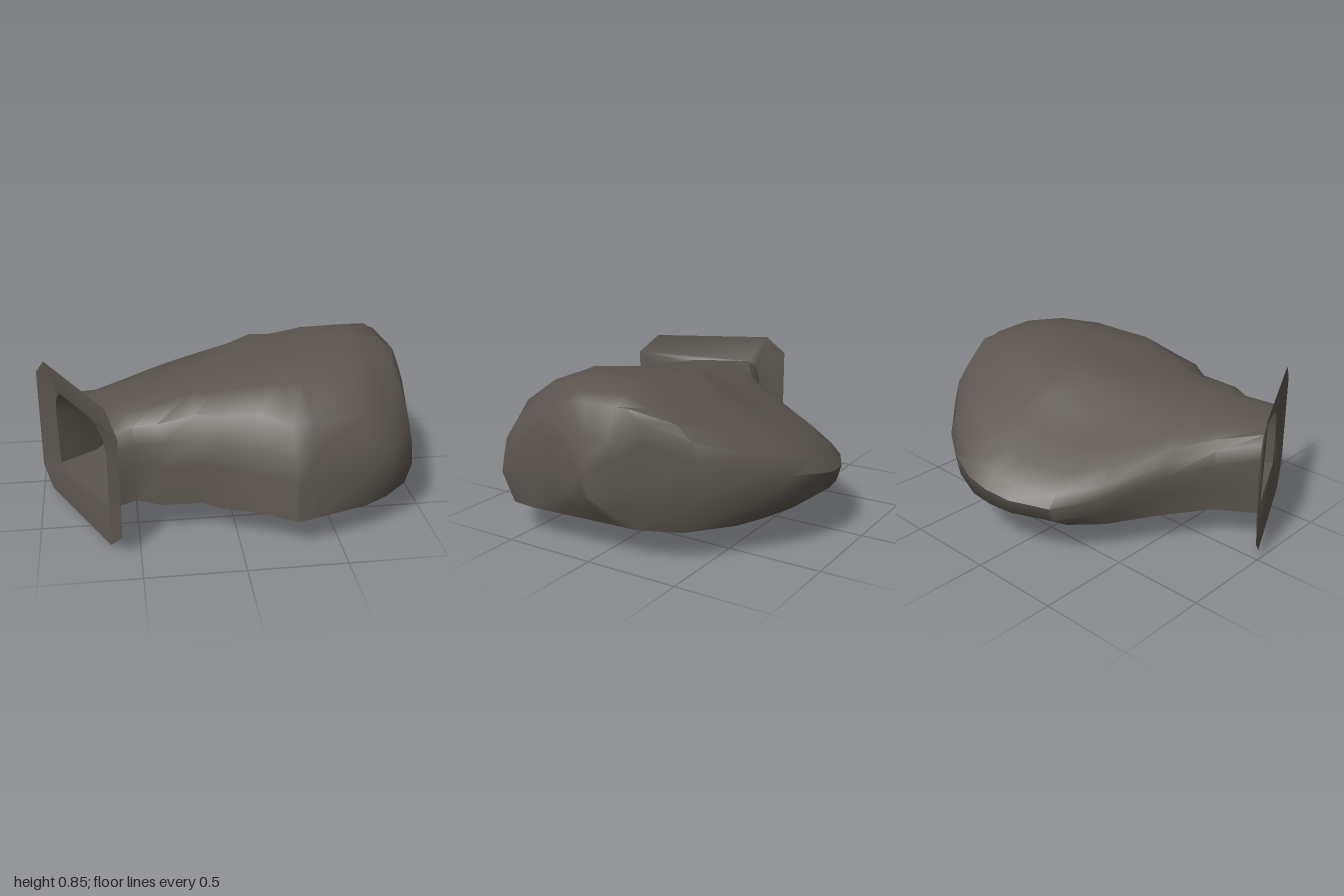
import * as THREE from 'three';
import { toCreasedNormals } from 'three/addons/utils/BufferGeometryUtils.js';

// piecewise-linear curve through [position, value] pairs
function curve(points, t) {
  if (t <= points[0][0]) return points[0][1];
  for (let i = 1; i < points.length; i++) {
    const [a, va] = points[i - 1], [b, vb] = points[i];
    if (t <= b) return va + (vb - va) * (t - a) / (b - a);
  }
  return points[points.length - 1][1];
}

// roof height limits along z and along x
const ROOF_Z = [[-0.87, 0.46], [-0.7, 0.56], [-0.46, 0.66], [-0.23, 0.77], [-0.07, 0.84],
  [0.05, 0.86], [0.2, 0.835], [0.55, 0.77], [0.68, 0.72], [0.87, 0.56]];
const ROOF_X = [[-1, 0.62], [-0.6, 0.635], [-0.4, 0.67], [0, 0.73], [0.13, 0.76],
  [0.68, 0.86], [0.9, 0.79], [1, 0.62]];

// roof: the lowest of both limits and two sloping planes, plus a small knoll
function roofHeight(x, z) {
  const backSlope = 0.735 + 0.268 * x + 0.382 * z;
  const cornerSlope = 1.52 - 0.74 * x - 0.51 * z;
  const knoll = 0.07 * Math.exp(-((x - 0.13) ** 2 + (z + 0.15) ** 2) / 0.015);
  return Math.min(curve(ROOF_Z, z), curve(ROOF_X, x), backSlope, cornerSlope) + knoll;
}

// slices: back x, z, front x, z, floor height, height cap, back undercut, front undercut
const SLICES = [
  [-0.902, 0.111, -0.641, 0.639, 0.18, 0.61, 0.03, 0],
  [-0.71, -0.02, -0.5, 0.58, 0.18, 0.64, 0.03, 0],
  [-0.56, -0.25, -0.38, 0.64, 0.18, 0.67, 0.04, 0],
  [-0.4, -0.56, -0.18, 0.63, 0.17, 0.7, 0.07, 0],
  [-0.26, -0.75, -0.07, 0.7, 0.17, 0.72, 0.09, 0],
  [-0.06, -0.845, 0.12, 0.76, 0.17, 0.9, 0.1, -0.01],
  [0.08, -0.87, 0.27, 0.83, 0.165, 0.9, 0.1, -0.02],
  [0.21, -0.87, 0.37, 0.81, 0.165, 0.9, 0.1, -0.015],
  [0.4, -0.8, 0.65, 0.78, 0.165, 0.9, 0.1, 0.02],
  [0.55, -0.71, 0.78, 0.73, 0.165, 0.9, 0.09, 0.04],
  [0.77, -0.5, 0.91, 0.62, 0.165, 0.84, 0.08, 0.06],
  [0.88, -0.25, 0.925, 0.45, 0.17, 0.77, 0.06, 0.05],
  [0.94, -0.13, 0.945, 0.27, 0.24, 0.62, 0.05, 0.03],
  [1.0, -0.01, 0.985, 0.1, 0.33, 0.49, 0, 0],
];

// closed section: [position from back to front, share of roof height]
const PROFILE = [[0, 0], [0.015, 0.35], [0, 0.74], [0.035, 0.92], [0.11, 1], [0.22, 1], [0.34, 1],
  [0.46, 1], [0.58, 1], [0.7, 1], [0.82, 0.97], [0.93, 0.86], [0.982, 0.68], [1, 0.42], [1, 0],
  [0.75, 0], [0.5, 0], [0.25, 0]];

function section([ax, az, bx, bz, low, cap, back, front], index) {
  return PROFILE.map(([u, v], j) => {
    let t = u;
    if (j === 0) t += back;
    if (j === 14) t -= front;
    const x = ax + (bx - ax) * t;
    let z = az + (bz - az) * t;
    // the mouth keeps its square top
    const roof = index === 0 ? cap : Math.min(roofHeight(x, z), cap);
    // shallow hollows on the front wall
    if (index > 0 && index < 8 && j > 10 && j < 14) z += 0.01 * Math.sin(index * 2.4 + j);
    return new THREE.Vector3(x, low + v * (roof - low), z);
  });
}

function loft(rings) {
  const n = rings[0].length, index = [];
  const points = rings.flat();
  for (let i = 0; i < rings.length - 1; i++) {
    for (let j = 0; j < n; j++) {
      const a = i * n + j, b = i * n + (j + 1) % n;
      index.push(a, b, a + n, b, b + n, a + n);
    }
  }
  // close the far end only; the mouth stays open
  const last = rings[rings.length - 1], start = points.length - n;
  const centre = last.reduce((s, p) => s.add(p), new THREE.Vector3()).divideScalar(n);
  points.push(centre);
  for (let j = 0; j < n; j++) index.push(start + j, start + (j + 1) % n, points.length - 1);
  const geometry = new THREE.BufferGeometry().setFromPoints(points);
  geometry.setIndex(index);
  return toCreasedNormals(geometry, 0.8);
}

// eight-sided plate whose inner edge is pushed back to meet the mouth
function plateGeometry(mouthRing) {
  const cos = 0.443, sin = 0.896, width = 0.926, depth = 0.03;
  const outline = [[0.12, 0], [0.86, 0], [1, 0.11], [1, 0.65], [0.87, 0.76], [0.12, 0.76], [0, 0.66], [0, 0.1]];
  const shape = new THREE.Shape(outline.map(([s, y]) => new THREE.Vector2(s * width, y)));
  shape.holes.push(new THREE.Path(mouthRing.map((p) => new THREE.Vector2((p.x + 1 - depth * sin) / cos, p.y))));
  const geometry = new THREE.ShapeGeometry(shape);
  const position = geometry.attributes.position;
  for (let i = outline.length; i < position.count; i++) position.setZ(i, -depth);
  geometry.computeVertexNormals();
  return geometry;
}

export function createModel() {
  const model = new THREE.Group();
  model.name = 'caveChamber';
  const rock = new THREE.MeshStandardMaterial({ color: 0x5b554e, side: THREE.DoubleSide });
  rock.name = 'darkRock';

  // hollow rock chamber with a neck leading to the mouth
  const rings = SLICES.map(section);
  const chamber = new THREE.Mesh(loft(rings), rock);
  chamber.name = 'rockChamber';
  model.add(chamber);

  // plate around the mouth
  const plate = new THREE.Mesh(plateGeometry(rings[0]), rock);
  plate.name = 'entrancePlate';
  plate.position.set(-1, 0, -0.02);
  plate.rotation.y = -Math.atan2(0.896, 0.443);
  model.add(plate);

  return model;
}
